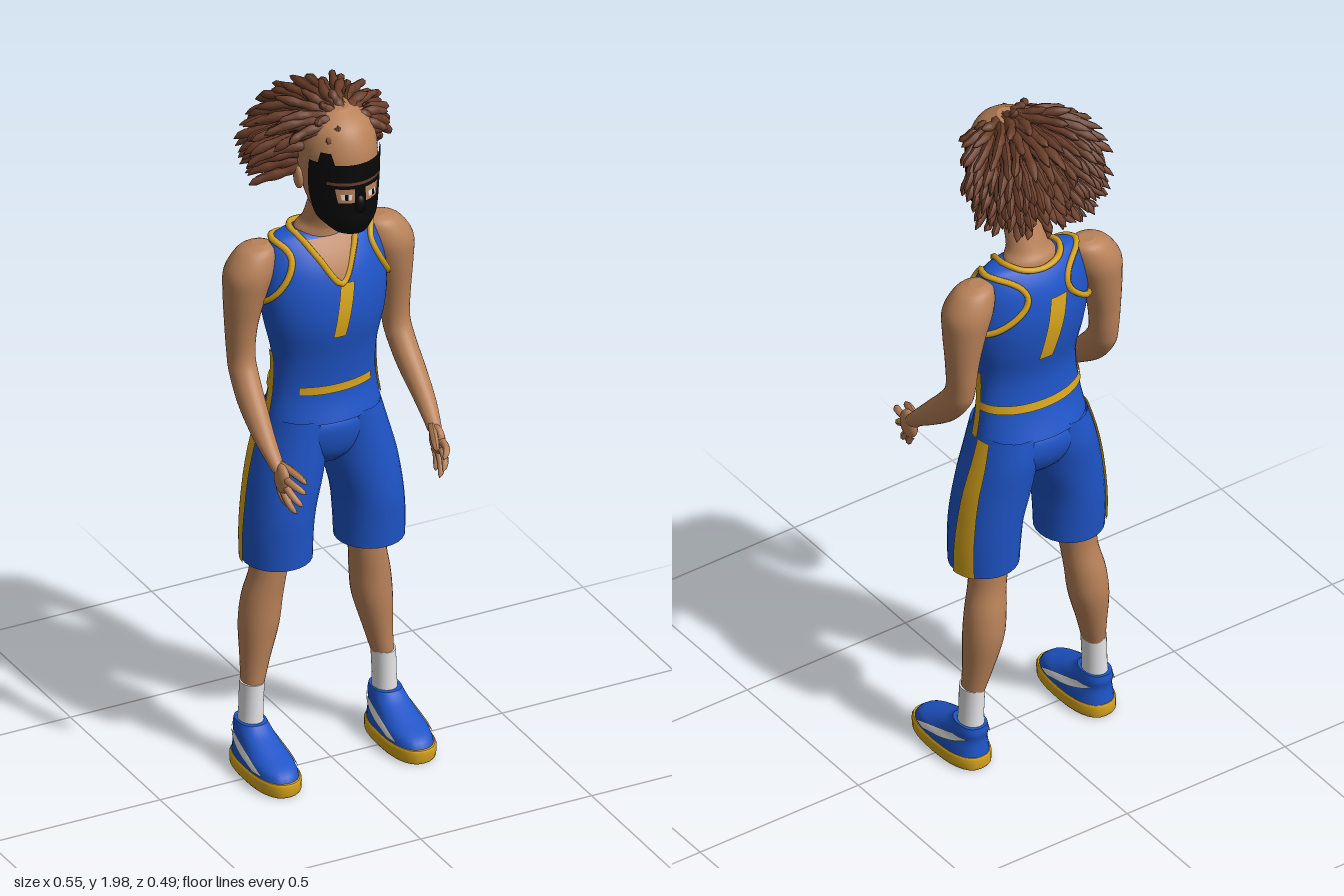
import * as THREE from 'three';
import { mergeGeometries } from 'three/addons/utils/BufferGeometryUtils.js';

const mat = (name, color, side = THREE.FrontSide) => {
  const m = new THREE.MeshStandardMaterial({ color, side });
  m.name = name;
  return m;
};
const V = (x, y, z) => new THREE.Vector3(x, y, z);

// Rows are [y, centreX, centreZ, radiusX, radiusZ], rising in y; resampled smoothly.
function smooth(rows, n = 5, side = 1) {
  const out = [];
  const at = i => rows[Math.max(0, Math.min(rows.length - 1, i))];
  for (let i = 0; i < rows.length - 1; i++) {
    for (let k = 0; k < n; k++) {
      const t = k / n;
      out.push(at(i).map((b, c) => {
        const a = at(i - 1)[c], d = at(i + 1)[c], e = at(i + 2)[c];
        return b + 0.5 * t * (d - a + t * (2 * a - 5 * b + 4 * d - e + t * (3 * (b - d) + e - a)));
      }));
    }
  }
  out.push(rows[rows.length - 1].slice());
  return out.map(r => [r[0], r[1] * side, r[2], r[3], r[4]]);
}
function rowAt(rows, y) {
  let i = 0;
  while (i < rows.length - 2 && rows[i + 1][0] < y) i++;
  const t = (y - rows[i][0]) / (rows[i + 1][0] - rows[i][0]);
  return rows[i].map((v, c) => v + (rows[i + 1][c] - v) * t);
}
// Point on a ring: angle 0 is the front, a quarter turn is +x. p < 1 squares the outline.
function ringPoint([y, cx, cz, rx, rz], a, off = 0, p = 1) {
  const s = Math.sin(a), c = Math.cos(a);
  return V(cx + (rx + off) * Math.sign(s) * Math.abs(s) ** p, y, cz + (rz + off) * Math.sign(c) * Math.abs(c) ** p);
}
function build(points, index) {
  const g = new THREE.BufferGeometry().setFromPoints(points);
  g.setIndex(index);
  g.computeVertexNormals();
  return g;
}
// Closed body through the rows
function loft(rows, { caps = true, off = 0, p = 1, n = 28 } = {}) {
  const pts = [], idx = [];
  rows.forEach(r => { for (let j = 0; j < n; j++) pts.push(ringPoint(r, j / n * Math.PI * 2, off, p)); });
  for (let i = 0; i < rows.length - 1; i++) {
    for (let j = 0; j < n; j++) {
      const a = i * n + j, b = i * n + (j + 1) % n;
      idx.push(a, b, b + n, a, b + n, a + n);
    }
  }
  if (caps) {
    [rows[0], rows[rows.length - 1]].forEach((r, top) => {
      const m = pts.length;
      pts.push(V(r[1], r[0], r[2]));
      for (let j = 0; j < n; j++) pts.push(ringPoint(r, j / n * Math.PI * 2, off, p));
      for (let j = 0; j < n; j++) {
        const a = m + 1 + j, b = m + 1 + (j + 1) % n;
        if (top) idx.push(m, a, b); else idx.push(m, b, a);
      }
    });
  }
  return build(pts, idx);
}
// Thin painted panel on a body: spans are [y, startAngle, endAngle]
function panel(rows, spans, { off = 0.005, p = 1, side = 1, m = 14 } = {}) {
  const pts = [], idx = [], steps = 6;
  for (let i = 0; i < spans.length - 1; i++) {
    for (let k = i ? 1 : 0; k <= steps; k++) {
      let [y, a0, a1] = spans[i].map((v, c) => v + (spans[i + 1][c] - v) * k / steps);
      if (side < 0) [a0, a1] = [-a1, -a0];
      for (let j = 0; j <= m; j++) pts.push(ringPoint(rowAt(rows, y), a0 + (a1 - a0) * j / m, off, p));
    }
  }
  const w = m + 1;
  for (let i = 0; i < pts.length / w - 1; i++) {
    for (let j = 0; j < m; j++) {
      const a = i * w + j;
      idx.push(a, a + 1, a + 1 + w, a, a + 1 + w, a + w);
    }
  }
  return build(pts, idx);
}
// Tube whose thickness follows shape(t)
function strand(curve, r, shape, n = 9, radial = 7) {
  const g = new THREE.TubeGeometry(curve, n, r, radial);
  const pos = g.attributes.position, v = V(0, 0, 0);
  for (let i = 0; i <= n; i++) {
    const c = curve.getPointAt(i / n), f = shape(i / n);
    for (let j = 0; j <= radial; j++) {
      const k = i * (radial + 1) + j;
      v.fromBufferAttribute(pos, k).sub(c).multiplyScalar(f).add(c);
      pos.setXYZ(k, v.x, v.y, v.z);
    }
  }
  g.computeVertexNormals();
  return g;
}
const blob = (x, y, z, sx, sy, sz) => new THREE.SphereGeometry(1, 18, 12).scale(sx, sy, sz).translate(x, y, z);

export function createModel() {
  const model = new THREE.Group();
  model.name = 'basketballPlayer';
  const skin = mat('skin', 0xb98259), blue = mat('jerseyBlue', 0x1f55c8, THREE.DoubleSide);
  const gold = mat('trimGold', 0xd8a51c, THREE.DoubleSide), white = mat('white', 0xe6e6e8, THREE.DoubleSide);
  const black = mat('maskBlack', 0x080808, THREE.DoubleSide), hair = mat('hairBrown', 0x6a3d29);
  const add = (name, geo, m) => {
    const mesh = new THREE.Mesh(geo, m);
    mesh.name = name;
    model.add(mesh);
  };

  // Jersey
  const torso = smooth([[1.02, 0, -0.055, 0.163, 0.115], [1.1, 0, -0.05, 0.15, 0.092], [1.2, 0, -0.04, 0.147, 0.092],
    [1.3, 0, -0.04, 0.168, 0.112], [1.38, 0, -0.045, 0.178, 0.116], [1.45, 0, -0.05, 0.172, 0.105],
    [1.5, 0, -0.056, 0.16, 0.085], [1.54, 0, -0.06, 0.14, 0.055], [1.553, 0, -0.06, 0.1, 0.035]]);
  add('jersey', loft(torso, { n: 40 }), blue);
  add('neckOpening', panel(torso, [[1.43, -0.01, 0.01], [1.5, -0.32, 0.32], [1.54, -0.57, 0.57]], { off: 0.003 }), skin);
  add('frontWaistBand', panel(torso, [[1.103, -0.75, 0.75], [1.128, -0.75, 0.75]]), gold);
  add('backWaistBand', panel(torso, [[1.105, 1.65, 4.63], [1.13, 1.65, 4.63]], { m: 30 }), gold);
  add('chestStripe', panel(torso, [[1.28, -0.18, 0.03], [1.43, -0.03, 0.2]]), gold);
  add('backStripe', panel(torso, [[1.27, 2.95, 3.2], [1.46, 3.14, 3.45]]), gold);
  const collar = [[0, 1.43], [0.32, 1.5], [0.56, 1.54]].map(([a, y]) => ringPoint(rowAt(torso, y), a, 0.002));
  collar.push(V(0.085, 1.556, -0.07), V(0.055, 1.548, -0.112));
  const loop = [...collar, V(0, 1.54, -0.124), ...collar.slice(1).reverse().map(q => V(-q.x, q.y, q.z))];
  add('collarTrim', new THREE.TubeGeometry(new THREE.CatmullRomCurve3(loop, true), 60, 0.009, 6, true), gold);

  // Pelvis of the shorts
  add('shortsTop', loft(smooth([[0.875, 0, -0.055, 0.05, 0.055], [0.91, 0, -0.056, 0.12, 0.09],
    [0.96, 0, -0.058, 0.168, 0.11], [1.01, 0, -0.056, 0.159, 0.11], [1.05, 0, -0.055, 0.14, 0.08]])), blue);

  // Neck and head
  add('neck', loft(smooth([[1.49, 0, -0.06, 0.09, 0.06], [1.55, 0, -0.06, 0.075, 0.056], [1.585, 0, -0.045, 0.055, 0.05],
    [1.68, 0, -0.005, 0.05, 0.05]])), skin);
  const head = smooth([[1.622, 0, 0.1, 0.04, 0.045], [1.66, 0, 0.068, 0.075, 0.09], [1.72, 0, 0.042, 0.092, 0.115],
    [1.78, 0, 0.03, 0.1, 0.125], [1.85, 0, 0.024, 0.103, 0.125], [1.91, 0, 0.02, 0.084, 0.1], [1.945, 0, 0.02, 0.035, 0.045]]);
  add('head', loft(head, { n: 36 }), skin);
  add('faceMask', panel(head, [[1.623, -1.6, 1.6], [1.68, -1.45, 1.45], [1.83, -1.2, 1.2]], { off: 0.007, m: 24 }), black);
  add('maskTab', panel(head, [[1.82, -1, -0.55], [1.86, -0.9, -0.65]], { off: 0.007 }), black);
  add('nose', blob(0, 1.715, 0.162, 0.016, 0.026, 0.014), black);
  add('browLine', panel(head, [[1.772, -0.8, 0.8], [1.78, -0.8, 0.8]], { off: 0.009 }), hair);

  // Dreadlocks, seeded and spread over the skull
  let seed = 7;
  const rand = () => (seed = (seed * 16807) % 2147483647) / 2147483647;
  const shell = (d, k) => V(-0.015 + 0.22 * k * d.x, 1.8 + 0.185 * k * d.y, -0.045 + 0.2 * k * d.z);
  const locks = [];
  for (let i = 0; i < 240; i++) {
    const y = 1 - (i + 0.5) / 240 * 1.6, r = Math.sqrt(1 - y * y), a = i * 2.39996;
    const d = V(r * Math.sin(a), y, r * Math.cos(a));
    const k = 0.88 + rand() * 0.14, j = rand() - 0.5;
    if ((d.z > 0.3 && y < 0.6) || (y < 0.15 && d.z > -0.05)) continue;
    const start = V(0.095 * d.x, 1.82 + 0.118 * d.y, 0.015 + 0.118 * d.z);
    const e = V(d.x * 1.5 + j * 0.3, y - 0.3, d.z * 1.4 - 0.3 * Math.max(y, 0)).normalize();
    const curve = new THREE.QuadraticBezierCurve3(start, shell(d, 0.85), shell(e, k));
    locks.push(strand(curve, 0.0145, t => (0.9 + 0.14 * Math.sin(t * 15 + i)) * Math.sqrt(1.003 - t ** 6)));
  }
  add('dreadlocks', mergeGeometries(locks), hair);

  for (const s of [1, -1]) {
    const side = s > 0 ? 'left' : 'right';
    const put = (name, geo, m) => add(side + name, geo, m);

    // Face details
    put('Ear', blob(s * 0.1, 1.745, 0.01, 0.012, 0.032, 0.02), skin);
    put('EyeSkin', panel(head, [[1.722, 0.16, 0.58], [1.762, 0.14, 0.62]], { off: 0.009, side: s }), skin);
    put('EyeWhite', panel(head, [[1.732, 0.24, 0.48], [1.748, 0.22, 0.5]], { off: 0.011, side: s }), white);
    put('Pupil', panel(head, [[1.732, 0.32, 0.4], [1.749, 0.32, 0.4]], { off: 0.013, side: s }), black);

    // Jersey trim: side stripe and armhole
    put('SideStripe', panel(torso, [[1.02, 1.4, 1.62], [1.1, 1.4, 1.65], [1.22, 1.5, 1.75]], { side: s }), gold);
    const hole = [];
    for (let i = 0; i < 20; i++) {
      const t = i / 20 * Math.PI * 2, y = 1.455 + 0.085 * Math.cos(t), row = rowAt(torso, y);
      const q = (-0.065 + 0.08 * Math.sin(t) - row[2]) / row[4];
      hole.push(ringPoint(row, s * Math.acos(Math.max(-1, Math.min(1, q))), 0.002));
    }
    put('ArmholeTrim', new THREE.TubeGeometry(new THREE.CatmullRomCurve3(hole, true), 48, 0.009, 6, true), gold);

    // Arm
    put('Arm', loft(smooth([[0.975, 0.229, 0.14, 0.017, 0.026], [0.995, 0.231, 0.122, 0.021, 0.03], [1.04, 0.234, 0.07, 0.028, 0.042],
      [1.1, 0.232, 0.005, 0.034, 0.054], [1.17, 0.228, -0.052, 0.036, 0.05], [1.22, 0.226, -0.072, 0.036, 0.045],
      [1.3, 0.224, -0.075, 0.042, 0.05], [1.39, 0.215, -0.072, 0.056, 0.061], [1.46, 0.202, -0.07, 0.068, 0.066],
      [1.515, 0.182, -0.07, 0.053, 0.048], [1.532, 0.172, -0.07, 0.022, 0.02]], 5, s)), skin);

    // Hand: palm, four curled fingers, thumb
    const digits = [[0.245, 0.945], [0.235, 0.905], [0.208, 0.872], [0.178, 0.878]].map(([z, y], i) =>
      strand(new THREE.QuadraticBezierCurve3(V(s * 0.226, 0.965 - i * 0.012, 0.175 - i * 0.01),
        V(s * 0.23, y + 0.025, z - 0.015), V(s * (0.2 + i * 0.004), y, z)), 0.01, t => Math.sqrt(1.005 - t ** 5)));
    digits.push(strand(new THREE.QuadraticBezierCurve3(V(s * 0.222, 0.99, 0.14), V(s * 0.205, 0.985, 0.185),
      V(s * 0.19, 0.965, 0.23)), 0.011, t => Math.sqrt(1.005 - t ** 5)));
    put('Palm', blob(s * 0.227, 0.958, 0.16, 0.017, 0.042, 0.034), skin);
    put('Fingers', mergeGeometries(digits), skin);

    // Shorts leg with side stripe and inner hem
    const leg = smooth([[0.61, 0.135, -0.045, 0.093, 0.095], [0.68, 0.134, -0.046, 0.094, 0.101], [0.76, 0.127, -0.047, 0.094, 0.107],
      [0.86, 0.107, -0.052, 0.099, 0.109], [0.95, 0.09, -0.058, 0.092, 0.111], [1.03, 0.075, -0.056, 0.083, 0.105]], 5, s);
    put('ShortsLeg', loft(leg, { caps: false }), blue);
    put('ShortsHem', loft([rowAt(leg, 0.609), rowAt(leg, 0.64)], { caps: false, off: -0.004 }), gold);
    put('ShortsStripe', panel(leg, [[0.61, 1.6, 2.28], [0.8, 1.62, 2.15], [1.02, 1.62, 2]], { side: s }), gold);

    // Lower leg and sock
    put('Leg', loft(smooth([[0.22, 0.192, -0.075, 0.028, 0.034], [0.3, 0.18, -0.083, 0.038, 0.045], [0.4, 0.166, -0.088, 0.053, 0.058],
      [0.48, 0.157, -0.085, 0.054, 0.057], [0.56, 0.144, -0.075, 0.05, 0.052], [0.65, 0.135, -0.072, 0.058, 0.056],
      [0.78, 0.125, -0.065, 0.07, 0.07]], 5, s)), skin);
    put('Sock', loft([[0.09, s * 0.197, -0.075, 0.035, 0.042], [0.16, s * 0.195, -0.075, 0.031, 0.038],
      [0.24, s * 0.192, -0.075, 0.032, 0.038]]), white);

    // Shoe
    const p = 0.82;
    const shoe = smooth([[0.03, 0.197, 0.01, 0.062, 0.137], [0.06, 0.197, 0.002, 0.058, 0.124], [0.085, 0.197, -0.028, 0.05, 0.092],
      [0.11, 0.197, -0.06, 0.044, 0.065], [0.13, 0.197, -0.073, 0.038, 0.05]], 5, s);
    put('Shoe', loft(shoe, { p }), blue);
    put('ShoeSole', loft([[0, s * 0.197, 0.01, 0.06, 0.135], [0.008, s * 0.197, 0.01, 0.066, 0.141],
      [0.034, s * 0.197, 0.011, 0.067, 0.141], [0.04, s * 0.197, 0.011, 0.062, 0.138]], { p }), gold);
    const slash = [[0.048, 0.95, 1.3], [0.075, 1.3, 1.9], [0.1, 1.7, 2.5]];
    put('ShoeOuterStripe', panel(shoe, slash, { p, side: s, off: 0.004 }), white);
    put('ShoeInnerStripe', panel(shoe, slash, { p, side: -s, off: 0.004 }), white);
  }
  return model;
}
